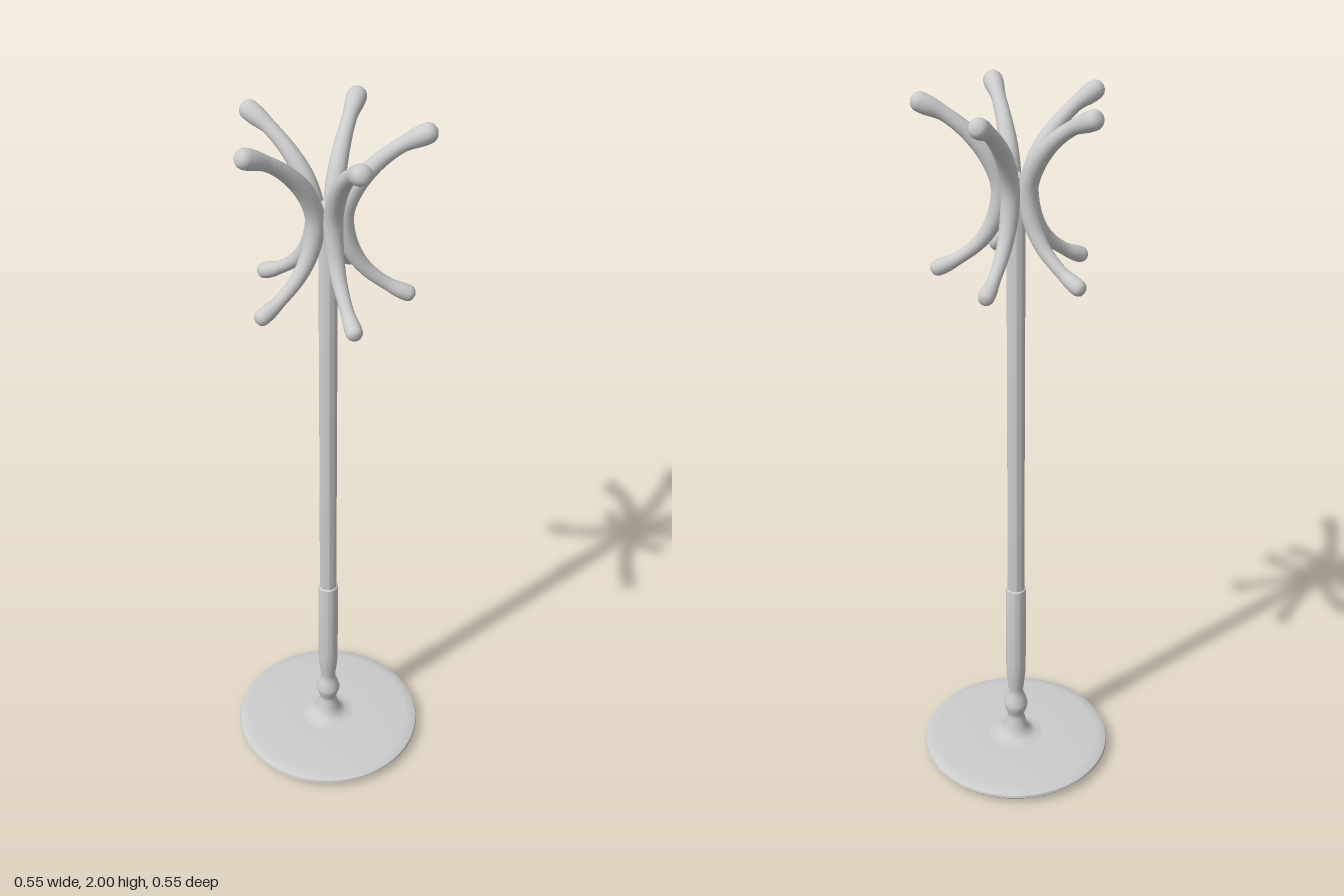
import * as THREE from 'three';
import { mergeVertices, toCreasedNormals } from 'three/addons/utils/BufferGeometryUtils.js';

const material = new THREE.MeshStandardMaterial({ color: 0xcccccc });
const v2 = ([x, y]) => new THREE.Vector2(x, y);

function addMesh(parent, name, geometry) {
  const mesh = new THREE.Mesh(geometry, material);
  mesh.name = name;
  parent.add(mesh);
  return mesh;
}

// Round tube along a curve; radii are [position 0..1, radius] stops, both ends are domed.
function taperedTube(curve, stops, segments = 120, sides = 18) {
  const length = curve.getLength();
  const radiusAt = (u) => {
    const i = Math.max(1, stops.findIndex(([s]) => s >= u));
    const [[u0, r0], [u1, r1]] = [stops[i - 1], stops[i]];
    const r = THREE.MathUtils.lerp(r0, r1, THREE.MathUtils.smoothstep(u, u0, u1));
    const d = Math.min(u, 1 - u) * length;
    return d < r ? Math.sqrt(Math.max(0, r * r - (r - d) ** 2)) : r;
  };
  let geometry = new THREE.TubeGeometry(curve, segments, 1, sides);
  const pos = geometry.attributes.position;
  const p = new THREE.Vector3();
  for (let i = 0; i <= segments; i++) {
    const u = i / segments;
    const centre = curve.getPointAt(u);
    const r = radiusAt(u);
    for (let j = 0; j <= sides; j++) {
      const k = i * (sides + 1) + j;
      p.fromBufferAttribute(pos, k).sub(centre).multiplyScalar(r).add(centre);
      pos.setXYZ(k, p.x, p.y, p.z);
    }
  }
  geometry.deleteAttribute('uv');
  geometry.deleteAttribute('normal');
  geometry = mergeVertices(geometry, 1e-5);
  geometry.computeVertexNormals();
  return geometry;
}

export function createModel() {
  const model = new THREE.Group();
  model.name = 'coatStand';

  // Thin round base with a soft rim and a shallow foot pad underneath
  const base = [
    [0, 0], [0.15, 0], [0.162, 0.009], [0.255, 0.011], [0.271, 0.015], [0.277, 0.022],
    [0.275, 0.029], [0.265, 0.034], [0.245, 0.037], [0.1, 0.039], [0, 0.04],
  ].map(v2);
  addMesh(model, 'base', toCreasedNormals(new THREE.LatheGeometry(base, 72), 0.7));

  // Turned foot: flare, neck, bulge and second neck
  const turned = new THREE.SplineCurve([
    [0.085, 0.038], [0.055, 0.045], [0.038, 0.062], [0.029, 0.09], [0.025, 0.112], [0.031, 0.132],
    [0.035, 0.15], [0.031, 0.17], [0.022, 0.198], [0.024, 0.225], [0.028, 0.265], [0.029, 0.3],
  ].map(v2));
  addMesh(model, 'turnedFoot', new THREE.LatheGeometry(turned.getPoints(48), 32));

  // Thick sleeve stepping in to the slimmer pole, closed by a domed top
  const sleeve = [[0.029, 0.3], [0.029, 0.56], [0.028, 0.567], [0.022, 0.572]].map(v2);
  addMesh(model, 'sleeve', toCreasedNormals(new THREE.LatheGeometry(sleeve, 32), 0.6));
  const pole = [[0.024, 0.55], [0.024, 1.78], [0.021, 1.793], [0.012, 1.801], [0, 1.803]].map(v2);
  addMesh(model, 'pole', toCreasedNormals(new THREE.LatheGeometry(pole, 32), 0.6));

  // Five bowed arms, each an upper and a lower hook with knobbed ends
  const path = new THREE.CatmullRomCurve3([
    [0.255, 1.981], [0.225, 1.969], [0.17, 1.942], [0.108, 1.892], [0.062, 1.832], [0.039, 1.765],
    [0.05, 1.69], [0.087, 1.625], [0.15, 1.573], [0.195, 1.55], [0.218, 1.541],
  ].map(([r, y]) => new THREE.Vector3(0, y, -r)));
  const arm = taperedTube(path, [
    [0, 0.025], [0.055, 0.025], [0.15, 0.0185], [0.42, 0.024], [0.55, 0.024],
    [0.87, 0.0165], [0.95, 0.021], [1, 0.021],
  ]);
  const arms = new THREE.Group();
  arms.name = 'arms';
  for (let i = 0; i < 5; i++) {
    addMesh(arms, `arm${i + 1}`, arm).rotation.y = (i * Math.PI * 2) / 5;
  }
  model.add(arms);

  return model;
}
